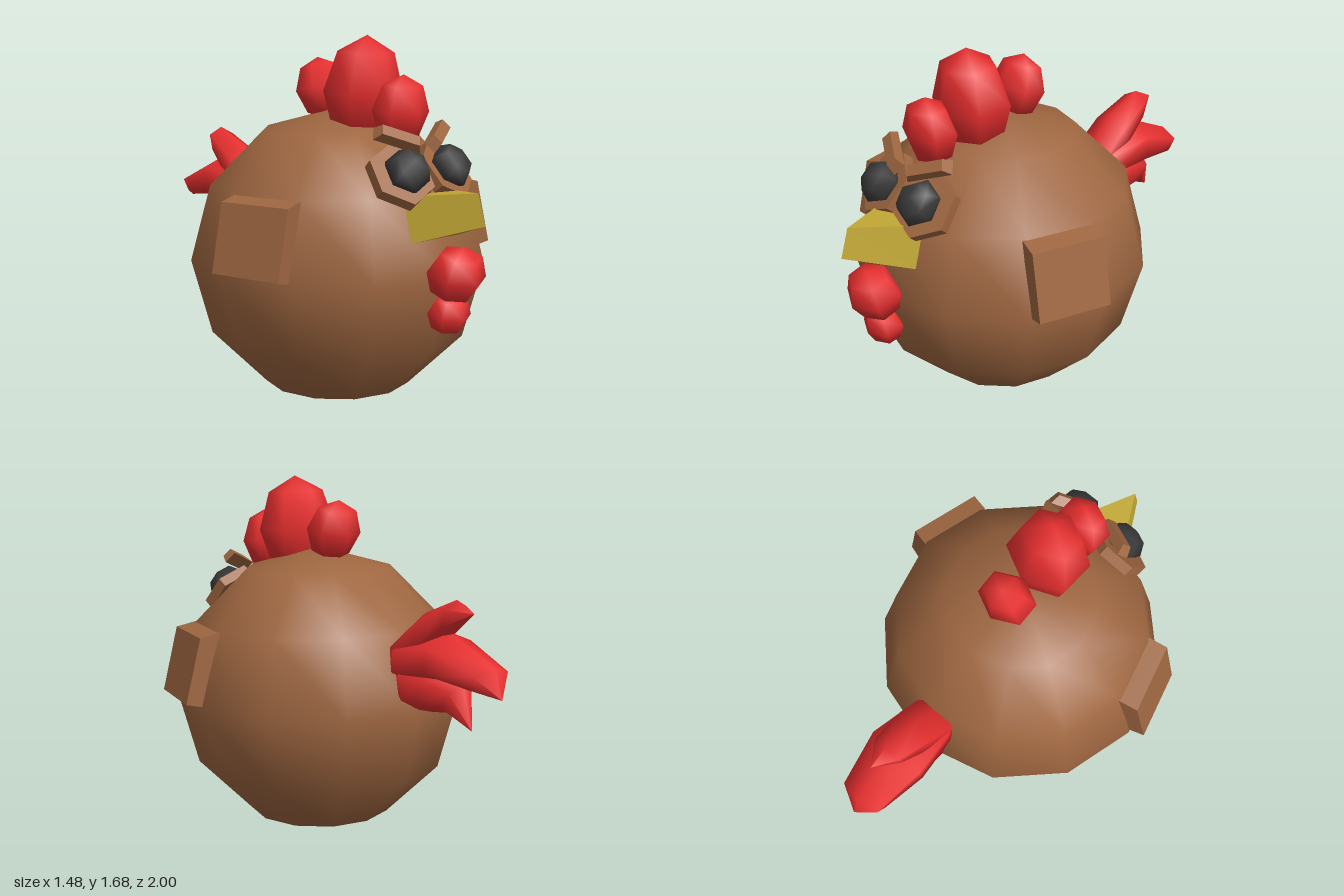
import * as THREE from 'three';

const mat = (name, color) => Object.assign(new THREE.MeshStandardMaterial({ color }), { name });

export function createModel() {
  const model = new THREE.Group();
  model.name = 'roundRooster';
  const brown = mat('brownFeathers', 0x9e6640);
  const red = mat('red', 0xe62e2e);
  const yellow = mat('beakYellow', 0xc2a834);
  const black = mat('eyeBlack', 0x383838);

  const add = (name, geometry, material, [x, y, z]) => {
    const mesh = new THREE.Mesh(geometry, material);
    mesh.name = name;
    mesh.position.set(x, y, z);
    model.add(mesh);
    return mesh;
  };
  const flat = (geometry) => {
    const g = geometry.toNonIndexed();
    g.computeVertexNormals();
    return g;
  };
  // Coarse smooth ball with a corner facing forward
  const ball = (size) => new THREE.SphereGeometry(1, 6, 4).rotateY(Math.PI / 2).scale(...size);
  const lobe = (name, pos, size, tilt) => {
    add(name, ball(size), red, pos).rotation.x = tilt;
  };

  // Body
  add('body', new THREE.SphereGeometry(0.677, 12, 6), brown, [0, 0.682, 0.138]);

  // Comb
  lobe('combFront', [0, 1.365, 0.525], [0.138, 0.155, 0.11], 0.1);
  lobe('combMiddle', [0, 1.435, 0.3], [0.19, 0.248, 0.168], 0.08);
  lobe('combBack', [0, 1.44, 0.035], [0.135, 0.145, 0.11], -0.25);

  // Wattle
  lobe('wattleUpper', [0, 0.71, 0.855], [0.14, 0.125, 0.12], 0.3);
  lobe('wattleLower', [0, 0.535, 0.82], [0.105, 0.092, 0.085], 0.2);

  // Tail feathers: six-sided loft, each section is [topZ, topY, bottomZ, bottomY, halfWidth]
  const feather = (name, sections) => {
    const pos = [], index = [], n = 6;
    for (const [zt, yt, zb, yb, w] of sections) {
      for (let i = 0; i < n; i++) {
        const a = (i / n) * Math.PI * 2, t = (1 - Math.cos(a)) / 2;
        pos.push((Math.sin(a) * w) / 0.866, yt + (yb - yt) * t, zt + (zb - zt) * t);
      }
    }
    for (let s = 0; s < sections.length - 1; s++) {
      for (let i = 0; i < n; i++) {
        const a = s * n + i, b = s * n + ((i + 1) % n);
        index.push(a, b, a + n, b, b + n, a + n);
      }
    }
    const g = new THREE.BufferGeometry();
    g.setAttribute('position', new THREE.Float32BufferAttribute(pos, 3));
    g.setIndex(index);
    g.computeVertexNormals();
    add(name, g, red, [0, 0, 0]);
  };
  feather('tailUpper', [
    [-0.4, 0.97, -0.4, 0.87, 0.05],
    [-0.45, 1.02, -0.46, 0.86, 0.1],
    [-0.56, 1.13, -0.6, 0.94, 0.095],
    [-0.742, 1.208, -0.72, 1.06, 0.07],
    [-0.839, 1.16, -0.839, 1.16, 0.001],
  ]);
  feather('tailMiddle', [
    [-0.4, 0.97, -0.4, 0.84, 0.07],
    [-0.48, 1.02, -0.48, 0.82, 0.11],
    [-0.7, 1.07, -0.69, 0.85, 0.14],
    [-0.962, 0.952, -0.88, 0.845, 0.1],
    [-1.0, 0.829, -1.0, 0.829, 0.001],
  ]);
  feather('tailLower', [
    [-0.4, 0.93, -0.42, 0.78, 0.05],
    [-0.5, 0.92, -0.53, 0.7, 0.1],
    [-0.65, 0.92, -0.6, 0.705, 0.095],
    [-0.79, 0.86, -0.715, 0.722, 0.07],
    [-0.844, 0.668, -0.844, 0.668, 0.001],
  ]);

  // Beak: a tilted three-sided wedge
  const beak = new THREE.BufferGeometry();
  beak.setAttribute('position', new THREE.Float32BufferAttribute([
    0, 1.06, 0.96, 0.145, 1.03, 0.68, -0.145, 1.03, 0.68,
    0, 0.93, 1.0, 0.145, 0.84, 0.735, -0.145, 0.84, 0.735,
  ], 3));
  beak.setIndex([0, 1, 2, 3, 5, 4, 0, 3, 4, 0, 4, 1, 0, 2, 5, 0, 5, 3, 1, 4, 5, 1, 5, 2]);
  add('beak', flat(beak), yellow, [0, 0, 0]);

  for (const s of [1, -1]) {
    const side = s > 0 ? 'left' : 'right';
    const facing = new THREE.Vector3(s * 0.17, 0.64, 0.75);
    const face = (mesh) => mesh.lookAt(mesh.position.clone().add(facing));

    // Eye ring and eye, both six-sided around the line of sight
    const ring = new THREE.CylinderGeometry(0.15, 0.15, 0.05, 6).rotateX(Math.PI / 2);
    face(add(side + 'EyeRing', flat(ring), brown, [s * 0.135, 1.108, 0.655]));
    const eye = ball([0.104, 0.08, 0.104]).rotateX(Math.PI / 2);
    face(add(side + 'Eye', eye, black, [s * 0.133, 1.135, 0.695]));

    // Slanted eyebrow: a slim bar with chamfered front edges
    const brow = new THREE.CylinderGeometry(1.1, 1.414, 0.045, 4)
      .rotateY(Math.PI / 4).rotateX(Math.PI / 2).scale(0.108, 0.032, 1);
    const browMesh = add(side + 'Brow', flat(brow), brown, [s * 0.122, 1.265, 0.635]);
    face(browMesh);
    browMesh.rotateZ(s * 0.42);

    // Wing slab lying along the flank, its top sloping up into the body
    const wing = new THREE.BoxGeometry(0.085, 0.31, 0.335);
    const p = wing.attributes.position;
    for (let i = 0; i < p.count; i++) {
      if (p.getY(i) > 0) p.setY(i, s * p.getX(i) > 0 ? 0.145 : 0.185);
    }
    const wingMesh = add(side + 'Wing', flat(wing), brown, [s * 0.623, 0.85, 0.308]);
    wingMesh.rotation.set(0, -s * 0.26, s * 0.24);
  }
  return model;
}
